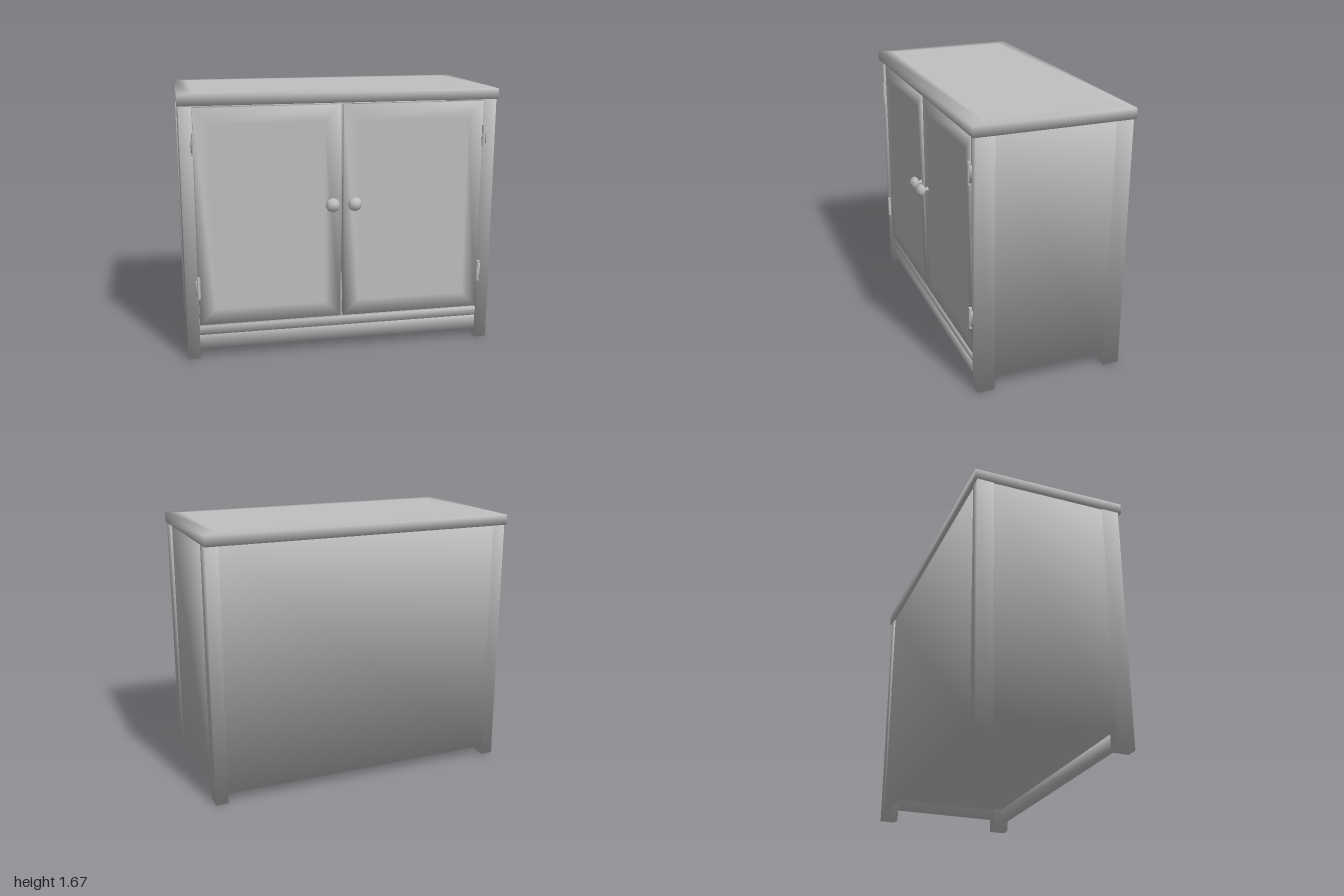
import * as THREE from 'three';

const grey = new THREE.MeshStandardMaterial({ color: 0xc0c0c0 });
grey.name = 'plain grey';

// Eight-cornered box with diagonal corner normals, so it shades softly.
// With an inset, its +z face gets a flat inner rectangle inside a soft border.
function softBox(w, h, d, inset = 0) {
  const pos = [], nor = [], index = [0, 2, 1, 0, 3, 2];
  const ring = (x, y, z, n, nz) => {
    for (const [sx, sy] of [[-1, -1], [1, -1], [1, 1], [-1, 1]]) {
      pos.push(sx * x, sy * y, z);
      nor.push(sx * n, sy * n, nz);
    }
  };
  const q = Math.sqrt(1 / 3);
  ring(w / 2, h / 2, -d / 2, q, -q);
  ring(w / 2, h / 2, d / 2, q, q);
  if (inset) ring(w / 2 - inset, h / 2 - inset, d / 2 + 0.002, 0, 1);
  const last = inset ? 8 : 4;
  for (let base = 0; base < last; base += 4) {
    for (let i = 0; i < 4; i++) {
      const a = base + i, b = base + (i + 1) % 4;
      index.push(a, b, b + 4, a, b + 4, a + 4);
    }
  }
  index.push(last, last + 1, last + 2, last, last + 2, last + 3);
  const g = new THREE.BufferGeometry();
  g.setAttribute('position', new THREE.Float32BufferAttribute(pos, 3));
  g.setAttribute('normal', new THREE.Float32BufferAttribute(nor, 3));
  g.setIndex(index);
  return g;
}

export function createModel() {
  const cabinet = new THREE.Group();
  cabinet.name = 'cabinet';
  const add = (name, geometry, x, y, z) => {
    const mesh = new THREE.Mesh(geometry, grey);
    mesh.name = name;
    mesh.position.set(x, y, z);
    cabinet.add(mesh);
  };

  // Top slab with a broad soft border
  add('top', softBox(2, 0.99, 0.065, 0.09).rotateX(-Math.PI / 2), 0, 1.6405, -0.025);

  // Hollow carcass: back panel, floor with its front edge below the doors, kick rail
  add('backPanel', softBox(1.84, 1.55, 0.03), 0, 0.835, -0.483);
  add('floor', softBox(1.92, 0.05, 0.85), 0, 0.185, -0.045);
  add('floorEdge', softBox(1.84, 0.055, 0.06), 0, 0.1825, 0.41);
  add('bottomRail', softBox(1.84, 0.095, 0.035), 0, 0.1075, 0.4175);

  // Knob profile: flared foot, thin neck, flattened ball
  const profile = [[0.02, 0], [0.01, 0.018], [0.026, 0.024], [0.045, 0.042],
    [0.045, 0.056], [0.026, 0.076], [0, 0.08]].map(([r, y]) => new THREE.Vector2(r, y));
  const knob = new THREE.LatheGeometry(profile, 8).rotateX(Math.PI / 2);

  for (const side of [1, -1]) {
    const label = side > 0 ? 'left' : 'right';

    // Corner posts and the side panel nearly flush between them
    add(label + 'FrontLeg', softBox(0.078, 1.61, 0.11), side * 0.955, 0.805, 0.395);
    add(label + 'BackLeg', softBox(0.078, 1.61, 0.105), side * 0.955, 0.805, -0.4525);
    add(label + 'SidePanel', softBox(0.03, 1.52, 0.75), side * 0.972, 0.85, -0.03);

    // Door and knob
    add(label + 'Door', softBox(0.902, 1.37, 0.05, 0.1), side * 0.461, 0.908, 0.42);
    add(label + 'Knob', knob, side * 0.07, 0.975, 0.445);

    // Hinges: a leaf on the post and two knuckles
    for (const y of [0.475, 1.378]) {
      add(label + 'HingeLeaf', softBox(0.012, 0.1, 0.02), side * 0.924, y, 0.455);
      for (const dy of [0.035, -0.035]) {
        add(label + 'HingeKnuckle', new THREE.CylinderGeometry(0.011, 0.011, 0.068, 8),
          side * 0.913, y + dy, 0.462);
      }
    }
  }
  return cabinet;
}
